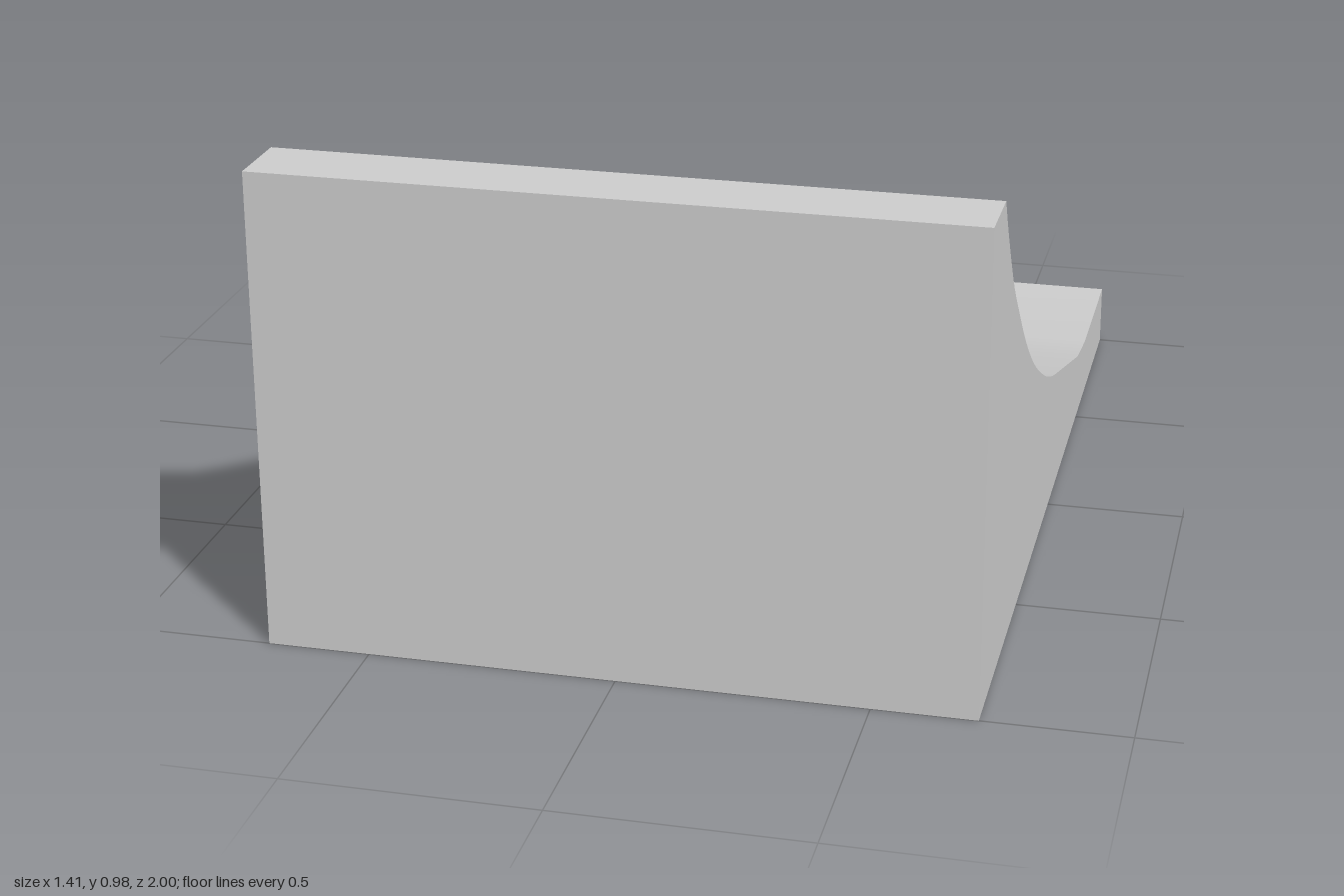
import * as THREE from 'three';
import { toCreasedNormals } from 'three/addons/utils/BufferGeometryUtils.js';

const WIDTH = 1.415;

export function createModel() {
  const model = new THREE.Group();
  const material = new THREE.MeshStandardMaterial({ color: 0xcccccc });

  // Side profile: shape x runs along the model's z
  const profile = new THREE.Shape();
  profile.moveTo(-1, 0);
  profile.lineTo(1, 0);
  profile.lineTo(1, 0.983); // tall front wall
  profile.lineTo(0.85, 0.983); // narrow top deck

  // Concave riding surface
  profile.splineThru([
    [0.8, 0.902], [0.7, 0.768], [0.6, 0.67], [0.5, 0.58], [0.4, 0.504],
    [0.3, 0.44], [0.2, 0.387], [0.1, 0.34], [0, 0.302], [-0.07, 0.28],
  ].map(([z, y]) => new THREE.Vector2(z, y)));

  // Straight run-out, easing into the low flat end
  profile.lineTo(-0.49, 0.155);
  profile.lineTo(-0.64, 0.134);
  profile.lineTo(-1, 0.134);
  profile.closePath();

  const geometry = new THREE.ExtrudeGeometry(profile, {
    depth: WIDTH, bevelEnabled: false, curveSegments: 3,
  });
  geometry.translate(0, 0, -WIDTH / 2);
  geometry.rotateY(-Math.PI / 2);

  const ramp = new THREE.Mesh(toCreasedNormals(geometry, Math.PI / 6), material);
  ramp.name = 'ramp';
  model.add(ramp);
  return model;
}
